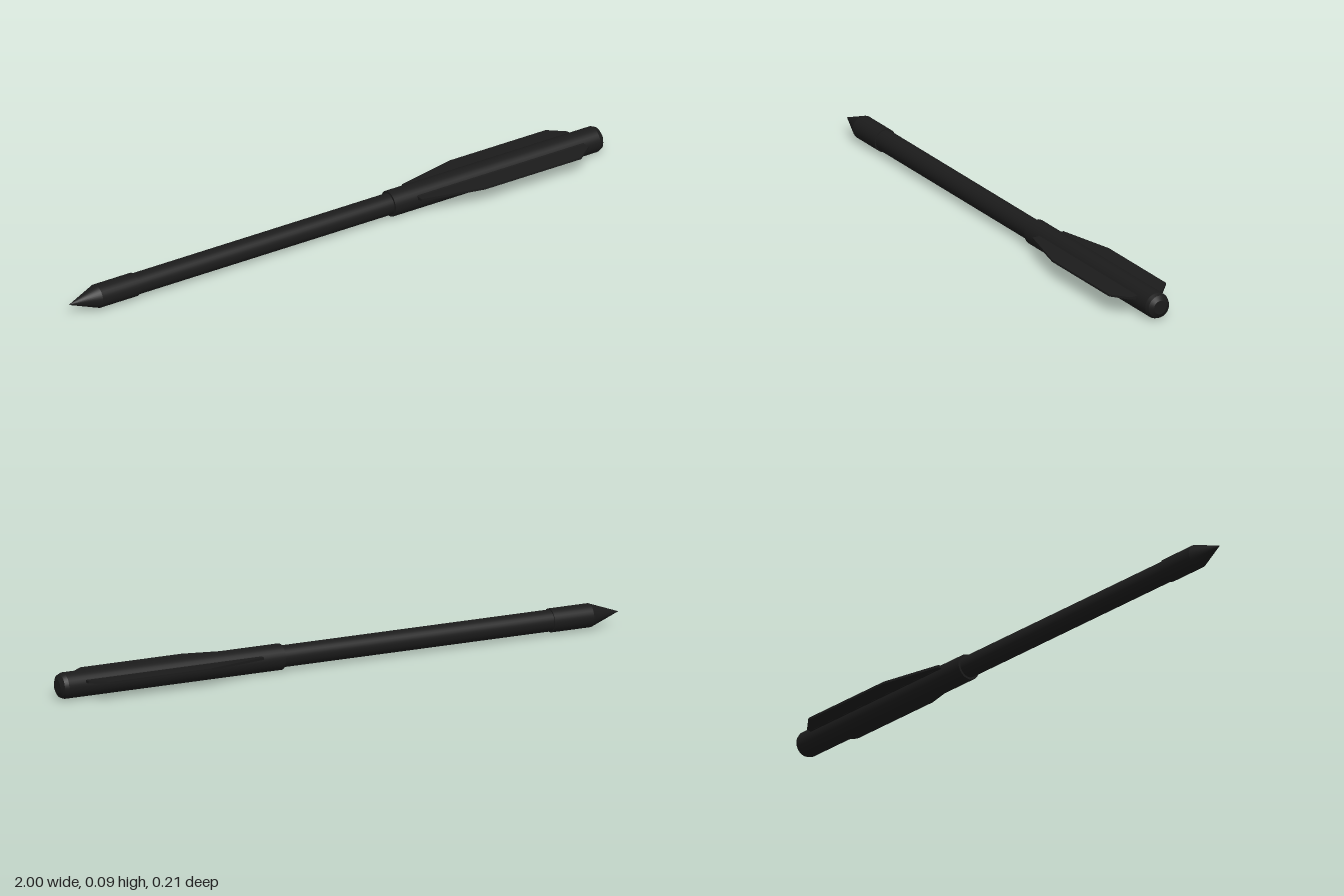
import * as THREE from 'three';

const AXIS_Y = 0.0435, AXIS_Z = -0.004;
const dark = new THREE.MeshStandardMaterial({ color: 0x1b1b1b, side: THREE.DoubleSide });

// Part turned around the x axis from straight [x, radius] segments, with sharp edges between them
function turned(name, profile) {
  const group = new THREE.Group();
  group.name = name;
  for (let i = 0; i < profile.length - 1; i++) {
    const [x0, r0] = profile[i], [x1, r1] = profile[i + 1];
    const geo = new THREE.LatheGeometry([new THREE.Vector2(r0, x0), new THREE.Vector2(r1, x1)], 32);
    geo.rotateZ(-Math.PI / 2);
    const mesh = new THREE.Mesh(geo, dark);
    mesh.name = name + 'Section';
    group.add(mesh);
  }
  group.position.set(0, AXIS_Y, AXIS_Z);
  return group;
}

// Flat vane on one side: a thin tapering blade with a flared root
function vane(name, side, span, tipRise) {
  const group = new THREE.Group();
  group.name = name;
  const outline = [[0.29, 0.03], [0.29, 0.057], [0.5, span], [0.862, span], [0.917, 0.06], [0.917, 0.03]];
  const shape = new THREE.Shape(outline.map(([x, z]) => new THREE.Vector2(x, z * side)));
  const blade = new THREE.ExtrudeGeometry(shape, { depth: 1, bevelEnabled: false });
  const p = blade.attributes.position;
  for (let i = 0; i < p.count; i++) {
    const x = p.getX(i), z = p.getY(i), top = p.getZ(i) > 0.5;
    const t = (Math.abs(z) - 0.03) / (span - 0.03);
    const y = top ? 0.063 + tipRise * t : 0.0545 + (0.002 + tipRise * 0.5) * t;
    p.setXYZ(i, x, y, z);
  }
  // Swapping two axes mirrors the solid, so turn its faces back outward
  for (let i = 0; i < p.count; i += 3) {
    const a = new THREE.Vector3().fromBufferAttribute(p, i + 1);
    const b = new THREE.Vector3().fromBufferAttribute(p, i + 2);
    p.setXYZ(i + 1, b.x, b.y, b.z);
    p.setXYZ(i + 2, a.x, a.y, a.z);
  }
  blade.computeVertexNormals();
  const bladeMesh = new THREE.Mesh(blade, dark);
  bladeMesh.name = name + 'Blade';

  // Root fillet, a cross-section carried along the sleeve
  const section = new THREE.Shape([[0.03, 0.066], [0.038, 0.0635], [0.05, 0.063], [0.05, 0.055], [0.042, 0.053], [0.034, 0.05]]
    .map(([z, y]) => new THREE.Vector2(-z * side, y)));
  const root = new THREE.ExtrudeGeometry(section, { depth: 0.627, bevelEnabled: false });
  root.rotateY(Math.PI / 2);
  root.translate(0.29, 0, 0);
  const rootMesh = new THREE.Mesh(root, dark);
  rootMesh.name = name + 'Root';
  group.add(bladeMesh, rootMesh);
  return group;
}

export function createModel() {
  const model = new THREE.Group();
  model.name = 'bolt';
  model.add(
    turned('point', [[-1, 0], [-0.895, 0.0385], [-0.755, 0.0385], [-0.755, 0.03]]),
    turned('shaft', [[-0.76, 0.035], [0.21, 0.035]]),
    turned('sleeve', [[0.206, 0.03], [0.206, 0.0425], [0.93, 0.0425]]),
    turned('nock', [[0.93, 0.0425], [0.978, 0.0425], [0.991, 0.037], [1, 0.0225], [1, 0]]),
    vane('leftVane', 1, 0.104, 0.0005),
    vane('rightVane', -1, 0.103, 0.002)
  );
  return model;
}
